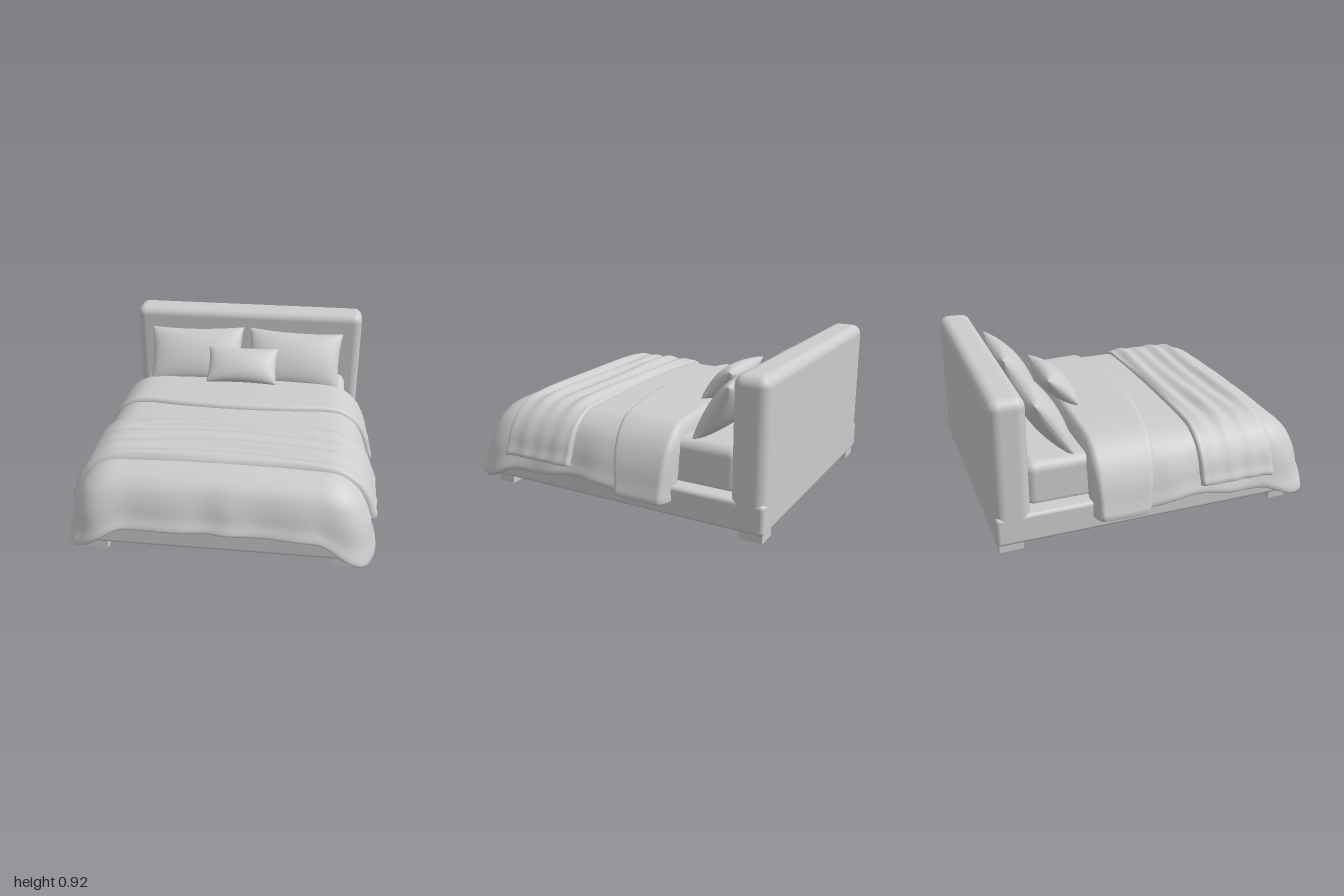
import * as THREE from 'three';
import { mergeGeometries } from 'three/addons/utils/BufferGeometryUtils.js';
import { RoundedBoxGeometry } from 'three/addons/geometries/RoundedBoxGeometry.js';

const lerp = THREE.MathUtils.lerp;
const smooth = THREE.MathUtils.smoothstep;

// Smooth grid surface: fn(u, w) with u, w in 0..1 returns [x, y, z]
function surface(nu, nw, fn) {
  const g = new THREE.PlaneGeometry(1, 1, nu, nw);
  const p = g.attributes.position;
  for (let i = 0; i < p.count; i++) p.setXYZ(i, ...fn(p.getX(i) + 0.5, 0.5 - p.getY(i)));
  g.computeVertexNormals();
  return g;
}

// Cloth falling over the bed edge: x = distance outward, y = share of the drop
const fall = new THREE.CatmullRomCurve3(
  [[0, 0], [0.12, 0.04], [0.22, 0.2], [0.285, 0.47], [0.32, 0.78], [0.335, 1], [0.26, 0.97]]
    .map(([o, d]) => new THREE.Vector3(o, d, 0)));
const EDGE_X = 0.55, EDGE_Z = 0.6, HANG = 0.35, CURL = 1.2;
const REACH = EDGE_X + HANG * CURL;
const TOP = 0.548;

const sideHem = (b) => 0.15 + 0.04 * Math.exp(-(((b - 0.15) / 0.22) ** 2));

// Maps a flat cloth point (a across, b along) onto the draped bed
function drape(a, b, { lift = 0, hem = sideHem(b), ripple = 0 } = {}) {
  const fa = Math.max(0, (Math.abs(a) - EDGE_X) / HANG);
  const fb = Math.max(0, (b - EDGE_Z) / HANG);
  const f = Math.min(CURL, Math.max(fa, fb));
  const angle = Math.atan2(fb, fa);
  const corner = f > 0 ? Math.sin(2 * angle) ** 2 : 0;
  const q = fall.getPoint(f / CURL);
  const steep = smooth(f, 0.1, 0.75);
  const hemY = lerp(hem, 0.22, Math.sin(angle) ** 2) - 0.12 * corner;
  const out = q.x * (1 + 0.28 * corner) + lift * steep + ripple * steep;
  const crown = 0.012 * (1 - Math.min(1, (a / EDGE_X) ** 2));
  return [
    Math.sign(a) * (Math.min(Math.abs(a), EDGE_X) + out * Math.cos(angle)),
    TOP + crown + lift * (1 - steep) - q.y * (TOP - hemY),
    Math.min(b, EDGE_Z) + out * Math.sin(angle),
  ];
}

// Cushion with a thin seam and pointed corners
function cushion(width, height, depth) {
  const half = (s) => surface(28, 22, (u, w) => {
    const a = Math.sin((u - 0.5) * Math.PI), b = Math.sin((0.5 - w) * Math.PI);
    const puff = Math.pow(Math.max(0, (1 - a * a) * (1 - b * b)), 0.42);
    return [
      s * a * width / 2 * (1 - 0.06 * (1 - b * b)),
      b * height / 2 * (1 - 0.09 * (1 - a * a)),
      s * depth / 2 * puff,
    ];
  });
  return mergeGeometries([half(1), half(-1)]);
}

export function createModel() {
  const bed = new THREE.Group();
  bed.name = 'bed';
  const grey = new THREE.MeshStandardMaterial({ color: 0xcccccc, side: THREE.DoubleSide });
  grey.name = 'light grey';

  const add = (name, geometry, x = 0, y = 0, z = 0) => {
    const m = new THREE.Mesh(geometry, grey);
    m.name = name;
    m.position.set(x, y, z);
    bed.add(m);
    return m;
  };
  const box = (name, w, h, d, r, x, y, z) =>
    add(name, new RoundedBoxGeometry(w, h, d, 5, r), x, y, z);

  // Upholstered frame, headboard and mattress
  box('baseFrame', 1.64, 0.18, 1.85, 0.025, 0, 0.14, -0.075);
  box('headboard', 1.64, 0.87, 0.205, 0.06, 0, 0.485, -0.8975);
  box('mattress', 1.44, 0.29, 1.55, 0.06, 0, 0.335, -0.025);

  // Sagging cloth below the frame
  add('undersideCloth', surface(32, 32, (u, w) => {
    const x = (0.5 - u) * 1.6, z = -0.97 + w * 1.8;
    const along = z > 0.22 ? 1 - (z - 0.22) / 0.45 : 1 - (0.22 - z) / 0.95;
    const sag = Math.max(0, along) * (1 - Math.abs(x) / 0.8);
    return [x, 0.051 - 0.046 * sag, z];
  }));

  // Four block feet
  for (const x of [-0.73, 0.73]) {
    add('frontFoot', new THREE.BoxGeometry(0.12, 0.07, 0.11), x, 0.035, 0.785);
    add('backFoot', new THREE.BoxGeometry(0.12, 0.07, 0.14), x, 0.035, -0.915);
  }

  // Duvet hanging over both sides and the foot end
  add('duvet', surface(110, 90, (u, w) => {
    const a = lerp(-REACH, REACH, u), b = lerp(-0.4, EDGE_Z + HANG * CURL, w);
    const ripple = 0.007 * Math.sin(a * 17 + 0.6 * Math.sin(a * 9)) * smooth(b, 0.6, 0.9)
      + 0.006 * Math.sin(b * 19 + 1);
    return drape(a, b, { ripple });
  }));

  // Folded-back top of the duvet with a curved front edge and a rolled rear edge
  add('duvetFold', surface(90, 44, (u, w) => {
    const a = lerp(-REACH, REACH, u);
    const front = 0.025 - 0.15 * Math.min(1, (a / 0.9) ** 2);
    const t = (1 - Math.cos(w * Math.PI)) / 2;
    const b = lerp(-0.445, front, t);
    const rear = Math.min(1, (b + 0.445) / 0.05);
    const tip = Math.min(1, (front - b) / 0.03);
    const lift = lerp(0.014, 0.03, t) - 0.13 * (1 - Math.sqrt(1 - (1 - rear) ** 2))
      - 0.035 * (1 - Math.sqrt(1 - (1 - tip) ** 2));
    return drape(a, b, { lift, hem: sideHem(b) - 0.012 });
  }));

  // Wrinkled throw laid across the foot of the bed
  add('throwBlanket', surface(110, 80, (u, w) => {
    const a = lerp(-REACH, REACH, u);
    const t = (1 - Math.cos(w * Math.PI)) / 2;
    const b = lerp(0.2, 0.68, t);
    const edge = Math.min(1, Math.min(b - 0.2, 0.68 - b) / 0.025);
    const flat = 1 - smooth(Math.abs(a), 0.45, 0.75);
    const fold = Math.sin(b * 52 + 0.9 * Math.cos(a * 4)) * 0.6 + Math.sin(b * 31 - a * 2.5) * 0.4;
    const lift = 0.026 + 0.016 * fold * (0.25 + 0.75 * flat) * edge
      - 0.034 * (1 - Math.sqrt(1 - (1 - edge) ** 2));
    // Drape as a straight strip, so the foot-end fall is applied separately
    const p = drape(a, Math.min(b, EDGE_Z), { lift, hem: 0.25 });
    const q = fall.getPoint(Math.max(0, b - EDGE_Z) / HANG / CURL);
    return [p[0], p[1] - q.y * 0.3, b];
  }));

  // Two sleeping pillows leaning on the headboard and one small cushion
  for (const s of [-1, 1]) {
    const pillow = add(s > 0 ? 'leftPillow' : 'rightPillow', cushion(0.67, 0.41, 0.18), s * 0.35, 0.645, -0.615);
    pillow.rotation.set(-0.58, 0, s * -0.03);
  }
  add('smallCushion', cushion(0.49, 0.27, 0.15), 0, 0.665, -0.425).rotation.x = -0.8;

  return bed;
}
